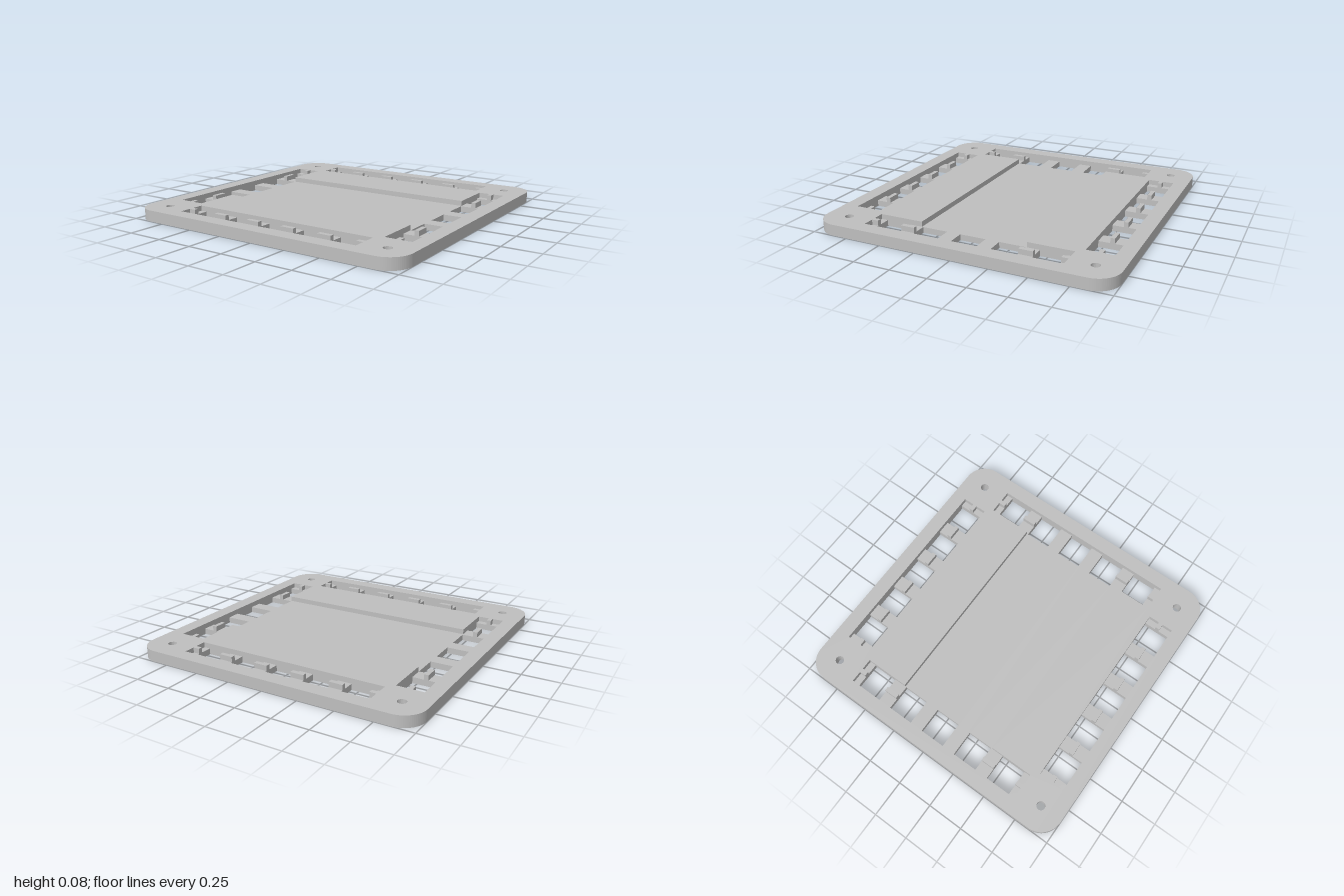
import * as THREE from 'three';

const FLOOR = 0.04, TOP = 0.075;   // recess floor and overall thickness
const SLOT = 0.81, HALF = 0.09;    // slot centre line and half width
const PITCH = 0.27;                // window spacing

const polygon = (pts) => new THREE.Path(pts.map(([x, y]) => new THREE.Vector2(x, y)));
const rect = (cx, cy, hx, hy) =>
  polygon([[cx - hx, cy - hy], [cx + hx, cy - hy], [cx + hx, cy + hy], [cx - hx, cy + hy]]);

// Rounded square outline with four screw holes
function plateShape() {
  const s = new THREE.Shape(), r = 0.15, c = 1 - r;
  s.absarc(c, c, r, 0, Math.PI / 2);
  s.absarc(-c, c, r, Math.PI / 2, Math.PI);
  s.absarc(-c, -c, r, Math.PI, Math.PI * 1.5);
  s.absarc(c, -c, r, Math.PI * 1.5, Math.PI * 2);
  s.closePath();
  for (const x of [-0.84, 0.84]) for (const y of [-0.84, 0.84]) {
    s.holes.push(new THREE.Path().absarc(x, y, 0.029, 0, Math.PI * 2));
  }
  return s;
}

// Lay an extruded shape flat between two heights
function layer(shape, y0, y1) {
  const g = new THREE.ExtrudeGeometry(shape, { depth: y1 - y0, bevelEnabled: false, curveSegments: 10 });
  return g.rotateX(-Math.PI / 2).translate(0, y0, 0);
}

// Slot end: two pads with a tongue between them
const slotEnd = [
  [SLOT - HALF, 0.673], [SLOT - 0.015, 0.673], [SLOT - 0.015, 0.628],
  [SLOT + 0.015, 0.628], [SLOT + 0.015, 0.673], [SLOT + HALF, 0.673],
];
const flipY = (pts) => pts.map(([x, y]) => [x, -y]).reverse();
const flipX = (pts) => pts.map(([x, y]) => [-x, y]).reverse();

export function createModel() {
  const group = new THREE.Group();
  const grey = new THREE.MeshStandardMaterial({ color: 0xbfbfbf });
  grey.name = 'grey';
  const add = (name, geometry) => {
    const m = new THREE.Mesh(geometry, grey);
    m.name = name;
    group.add(m);
    return m;
  };

  // Base plate pierced by five windows along every edge
  const base = plateShape();
  for (const s of [-1, 1]) for (let i = -2; i <= 2; i++) {
    base.holes.push(rect(s * SLOT, i * PITCH, HALF, 0.088));
    base.holes.push(rect(i * PITCH, s * SLOT, 0.088, HALF));
  }
  add('basePlate', layer(base, 0, FLOOR));

  // Raised frame: side slots joined by the central recess, separate front and back slots
  const frame = plateShape();
  const upper = [[SLOT - HALF, 0.367], ...slotEnd];
  const rightSide = [...upper, ...flipY(upper)];
  frame.holes.push(polygon([...rightSide, ...flipX(rightSide)]));
  const slot = [...slotEnd, ...flipY(slotEnd)];
  for (const s of [-1, 1]) frame.holes.push(polygon(slot.map(([x, y]) => [y, s * x])));
  add('raisedFrame', layer(frame, FLOOR, TOP));

  // Ridges on the bars between windows
  const h = TOP - FLOOR, y = FLOOR + h / 2, len = PITCH - 0.176;
  for (const s of [-1, 1]) {
    for (const k of [-1.5, -0.5, 0.5, 1.5]) {
      add('barRidge', new THREE.BoxGeometry(len, h, 0.03)).position.set(k * PITCH, y, s * SLOT);
    }
    for (const k of [-1.5, 1.5]) {
      add('sideBarRidge', new THREE.BoxGeometry(0.03, h, len)).position.set(s * SLOT, y, k * PITCH);
    }
  }
  return group;
}
